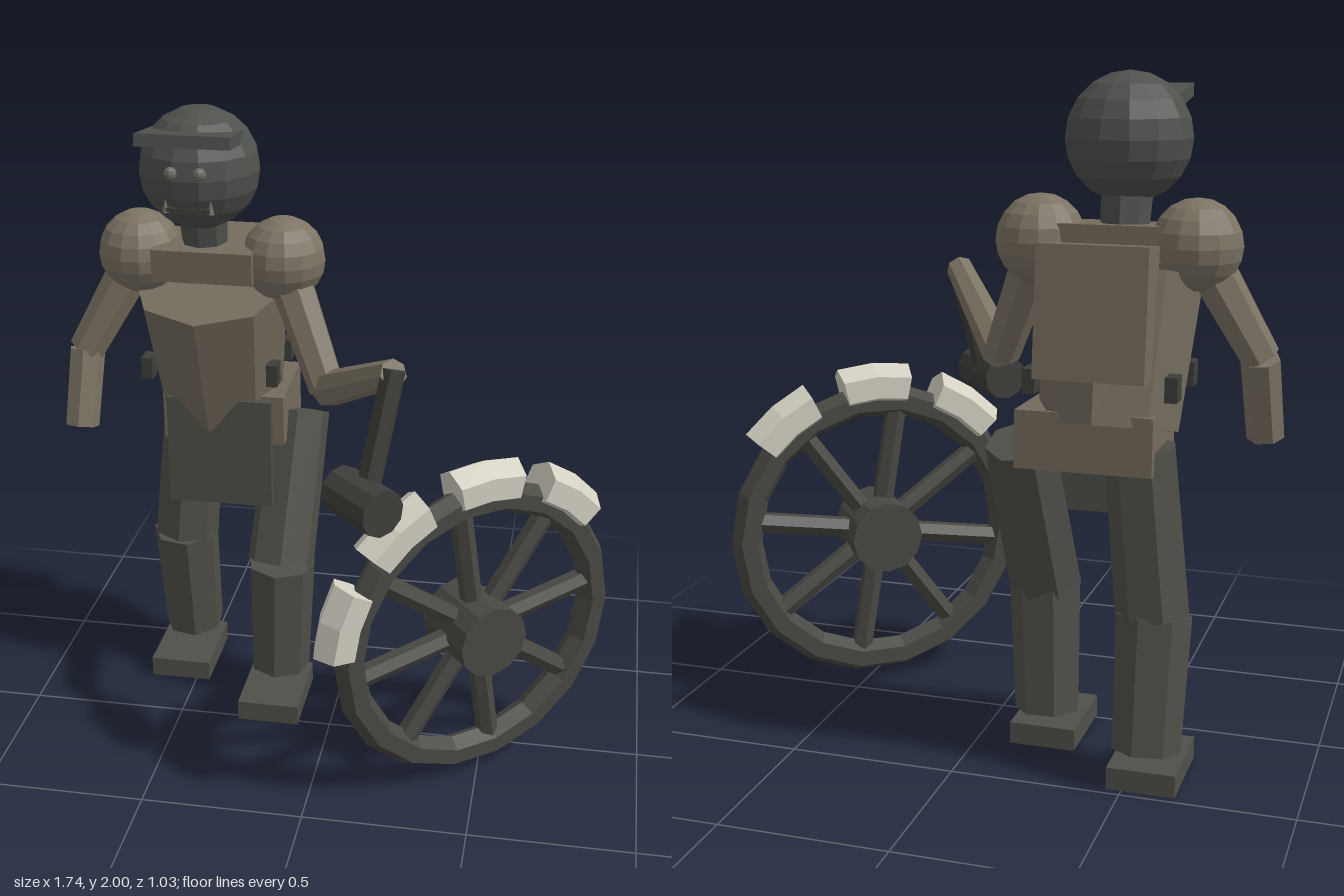
import * as THREE from 'three';

const mat = (name, color) => {
  const m = new THREE.MeshStandardMaterial({ color, flatShading: true });
  m.name = name;
  return m;
};

export function createModel() {
  const root = new THREE.Group();
  root.name = 'workerWithWheel';

  const skin = mat('skinBrown', 0x7c7364);
  const cloth = mat('clothBrown', 0x746b5d);
  const trousers = mat('trouserGrey', 0x50504a);
  const headMat = mat('headGrey', 0x4f514d);
  const iron = mat('ironGrey', 0x484843);
  const dark = mat('darkGrey', 0x3e3e3a);
  const pale = mat('paleStone', 0xd3d0c2);
  const eyeMat = mat('eyeGrey', 0x6c6c66);

  const add = (parent, name, geo, m, pos = [0, 0, 0], rot = [0, 0, 0]) => {
    const mesh = new THREE.Mesh(geo, m);
    mesh.name = name;
    mesh.position.set(...pos);
    mesh.rotation.set(...rot);
    parent.add(mesh);
    return mesh;
  };
  const box = (name, size, m, pos, rot) => add(root, name, new THREE.BoxGeometry(...size), m, pos, rot);
  const ball = (name, r, m, pos, w = 14, h = 10) => add(root, name, new THREE.SphereGeometry(r, w, h), m, pos);

  // Tapered cylinder running from point a to point b
  const limb = (parent, name, a, b, ra, rb, m, sides = 7) => {
    const va = new THREE.Vector3(...a), vb = new THREE.Vector3(...b);
    const d = vb.clone().sub(va);
    const mesh = add(parent, name, new THREE.CylinderGeometry(rb, ra, d.length(), sides), m);
    mesh.position.copy(va).add(vb).multiplyScalar(0.5);
    mesh.quaternion.setFromUnitVectors(new THREE.Vector3(0, 1, 0), d.normalize());
    return mesh;
  };

  const cx = -0.42;

  // Head, cap brim and face
  ball('head', 0.183, headMat, [cx, 1.817, -0.163]);
  box('capBrim', [0.28, 0.037, 0.2], headMat, [cx, 1.928, -0.06], [-0.13, 0, 0]);
  box('mouth', [0.13, 0.012, 0.03], dark, [cx, 1.727, -0.018]);
  for (const s of [-1, 1]) {
    ball('eye', 0.02, eyeMat, [cx + s * 0.043, 1.84, 0.01], 8, 6);
    add(root, 'tusk', new THREE.ConeGeometry(0.012, 0.045, 5), eyeMat, [cx + s * 0.068, 1.74, -0.012]);
  }
  limb(root, 'neck', [cx, 1.56, -0.2], [cx, 1.72, -0.17], 0.07, 0.078, headMat, 8);

  // Trunk, yoke, pack, pelvis and apron
  add(root, 'torso', new THREE.CylinderGeometry(0.24, 0.2, 0.43, 8), cloth, [-0.41, 1.23, -0.267], [0.25, 0, 0]);
  box('yoke', [0.31, 0.1, 0.22], cloth, [-0.408, 1.53, -0.2], [0.05, 0, 0]);
  box('backpack', [0.31, 0.365, 0.13], cloth, [-0.4, 1.365, -0.442], [0.1, 0, 0]);
  box('pelvis', [0.39, 0.165, 0.29], cloth, [-0.375, 1.002, -0.328], [0.03, 0, 0]);
  box('apron', [0.335, 0.36, 0.025], trousers, [-0.378, 0.9, -0.143]);

  // Belt pouches on both flanks
  for (const x of [-0.21, -0.61])
    for (const z of [-0.18, -0.41])
      box('beltPouch', [0.035, 0.07, 0.06], dark, [x, 1.163, z]);

  // Legs and feet: left leg steps forward
  const legs = [
    { side: 'left', hip: [-0.165, 0.97, -0.355], knee: [-0.192, 0.5, -0.175], ankle: [-0.204, 0.105, -0.19], foot: -0.12 },
    { side: 'right', hip: [-0.515, 0.98, -0.36], knee: [-0.56, 0.5, -0.36], ankle: [-0.555, 0.11, -0.41], foot: -0.335 },
  ];
  for (const l of legs) {
    limb(root, l.side + 'Thigh', l.hip, l.knee, 0.104, 0.11, trousers);
    limb(root, l.side + 'Shin', l.knee, l.ankle, 0.11, 0.1, trousers);
    box(l.side + 'Foot', [0.2, 0.066, 0.28], trousers, [l.ankle[0], 0.033, l.foot]);
  }

  // Shoulders and arms
  const arms = [
    { side: 'left', shoulder: [-0.18, 1.53, -0.215], elbow: [-0.02, 1.165, -0.08], wrist: [0.225, 1.365, 0.25], r: 0.042 },
    { side: 'right', shoulder: [-0.63, 1.53, -0.22], elbow: [-0.808, 1.21, -0.17], wrist: [-0.82, 0.975, -0.105], r: 0.055 },
  ];
  for (const a of arms) {
    ball(a.side + 'Shoulder', 0.13, skin, a.shoulder);
    limb(root, a.side + 'UpperArm', a.shoulder, a.elbow, 0.07, 0.057, skin);
    limb(root, a.side + 'Forearm', a.elbow, a.wrist, 0.057, a.r, skin);
  }

  // Mallet held in the left hand
  limb(root, 'malletHandle', [0.225, 1.375, 0.245], [0.165, 1.02, 0.335], 0.036, 0.036, dark, 6);
  limb(root, 'malletHead', [0.08, 1.01, 0.28], [0.225, 1.01, 0.425], 0.072, 0.072, dark, 10);

  // Spoked wheel, built facing +z and then turned
  const wheel = new THREE.Group();
  wheel.name = 'wheel';
  wheel.position.set(0.473, 0.505, 0.138);
  wheel.rotation.y = 0.66;
  root.add(wheel);
  add(wheel, 'rim', new THREE.TorusGeometry(0.437, 0.05, 6, 18), iron);
  add(wheel, 'hub', new THREE.CylinderGeometry(0.115, 0.115, 0.22, 12), iron, [0, 0, 0], [Math.PI / 2, 0, 0]);
  for (let i = 0; i < 8; i++) {
    const t = 0.16 + (i * Math.PI) / 4;
    const at = r => [Math.cos(t) * r, Math.sin(t) * r, 0];
    limb(wheel, 'spoke', at(0.05), at(0.43), 0.034, 0.034, iron, 6);
  }

  // Pale curved blocks clamped over the upper rim
  const R = 0.487, tube = 0.07, arc = 0.43;
  for (const deg of [52, 89, 126, 163]) {
    const pad = new THREE.Group();
    pad.name = 'rimBlock';
    pad.rotation.z = THREE.MathUtils.degToRad(deg) - arc / 2;
    wheel.add(pad);
    add(pad, 'blockShell', new THREE.TorusGeometry(R, tube, 6, 2, arc), pale);
    const cap = new THREE.CircleGeometry(tube, 6);
    add(pad, 'blockEnd', cap, pale, [R, 0, 0], [Math.PI / 2, 0, 0]);
    const far = new THREE.Group();
    far.name = 'farEnd';
    far.rotation.z = arc;
    pad.add(far);
    add(far, 'blockEnd', cap, pale, [R, 0, 0], [-Math.PI / 2, 0, 0]);
  }

  return root;
}
